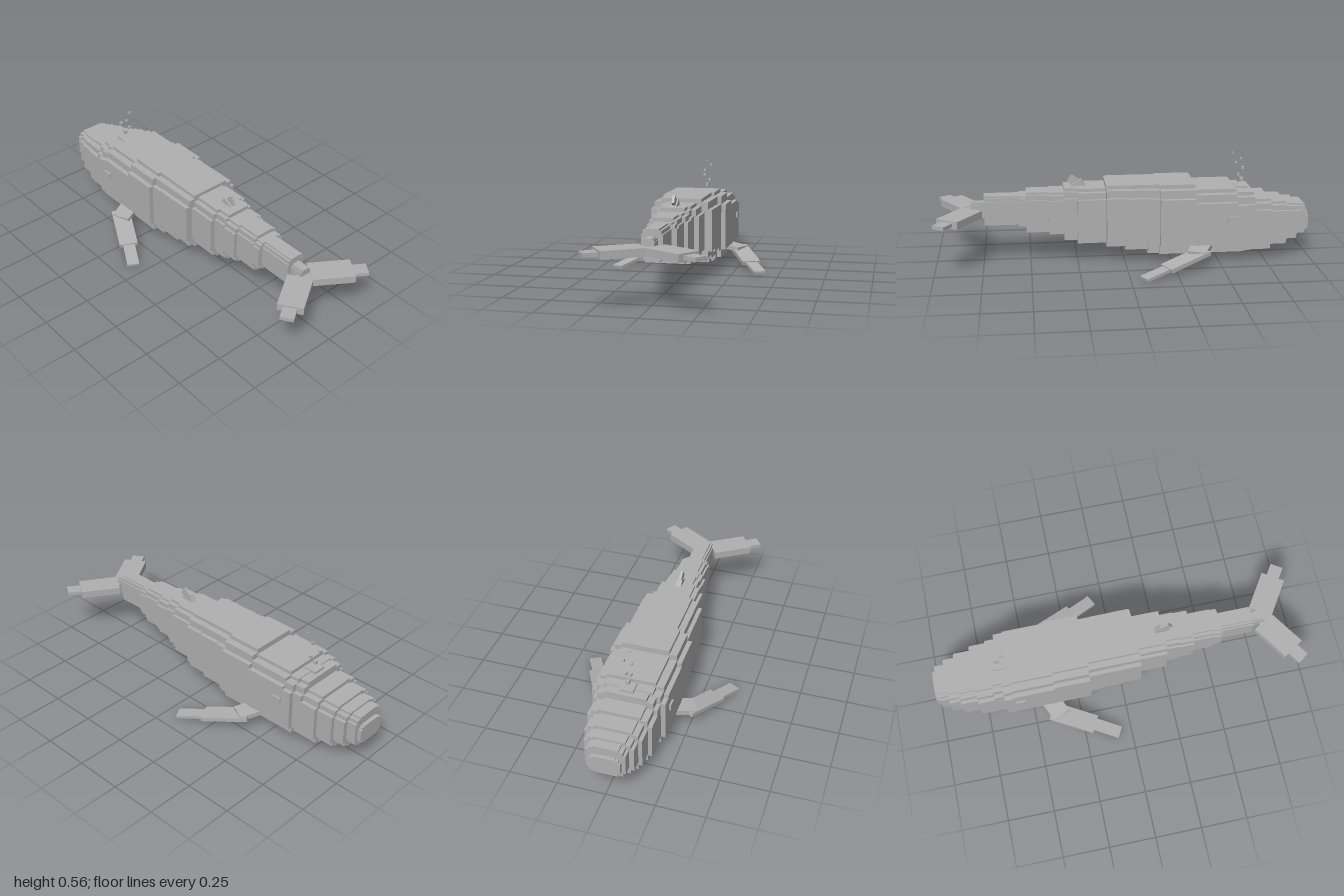
import * as THREE from 'three';

export function createModel() {
  const grey = new THREE.MeshStandardMaterial({ color: 0xb0b0b0 });
  grey.name = 'whale grey';
  const whale = new THREE.Group();
  whale.name = 'whale';

  function box(parent, name, w, h, d, x, y, z) {
    const m = new THREE.Mesh(new THREE.BoxGeometry(w, h, d), grey);
    m.name = name;
    m.position.set(x, y, z);
    parent.add(m);
    return m;
  }
  // Slab running from point a to point b, kept level across its width
  function slab(parent, name, a, b, w, h) {
    const p = new THREE.Vector3(...a), q = new THREE.Vector3(...b);
    const m = box(parent, name, w, h, p.distanceTo(q), 0, 0, 0);
    m.position.copy(p).add(q).multiplyScalar(0.5);
    m.lookAt(q);
    return m;
  }

  // Body slices, head to tail: z start, z end, half width, top, bottom
  const slices = [
    [-1.0, -0.97, 0.08, 0.24, 0.14],
    [-0.98, -0.93, 0.1, 0.285, 0.12],
    [-0.93, -0.87, 0.125, 0.295, 0.095],
    [-0.87, -0.78, 0.145, 0.31, 0.07],
    [-0.78, -0.69, 0.165, 0.33, 0.048],
    [-0.69, -0.64, 0.165, 0.37, 0.045],
    [-0.64, -0.59, 0.19, 0.375, 0.044],
    [-0.59, -0.37, 0.19, 0.395, 0.044],
    [-0.37, -0.18, 0.19, 0.425, 0.044],
    [-0.18, -0.12, 0.165, 0.425, 0.046],
    [-0.12, 0, 0.165, 0.425, 0.07],
    [0, 0.1, 0.165, 0.425, 0.09],
    [0.1, 0.25, 0.125, 0.405, 0.105],
    [0.25, 0.32, 0.1, 0.405, 0.12],
    [0.32, 0.4, 0.1, 0.385, 0.155],
    [0.4, 0.52, 0.08, 0.385, 0.165],
    [0.52, 0.56, 0.08, 0.365, 0.2],
    [0.56, 0.74, 0.053, 0.365, 0.205],
    [0.74, 0.81, 0.03, 0.33, 0.24],
  ];
  const body = new THREE.Group();
  body.name = 'body';
  whale.add(body);
  for (const [z0, z1, hw, top, bottom] of slices) {
    // Three overlapping blocks give each slice its stepped corners
    for (const [side, rise] of [[1, 0.17], [0.87, 0.055], [0.66, 0]]) {
      const inset = (top - bottom) * rise;
      box(body, 'bodyBlock', 2 * hw * side, top - bottom - 2 * inset, z1 - z0,
        0, (top + bottom) / 2, (z0 + z1) / 2);
    }
  }

  // Dorsal fin and blowhole
  box(whale, 'dorsalFinBase', 0.03, 0.04, 0.07, 0, 0.405, 0.245).rotation.x = 0.5;
  box(whale, 'dorsalFin', 0.014, 0.045, 0.055, 0, 0.43, 0.265).rotation.x = -0.6;
  box(whale, 'blowhole', 0.07, 0.012, 0.07, 0, 0.378, -0.635);

  // Mirrored eyes, flippers and flukes
  for (const s of [1, -1]) {
    const side = s > 0 ? 'left' : 'right';
    box(whale, side + 'Eye', 0.02, 0.03, 0.05, s * 0.19, 0.25, -0.56);

    const flipper = new THREE.Group();
    flipper.name = side + 'Flipper';
    slab(flipper, 'shoulder', [s * 0.13, 0.1, -0.42], [s * 0.26, 0.085, -0.36], 0.1, 0.025);
    slab(flipper, 'arm', [s * 0.225, 0.088, -0.41], [s * 0.335, 0.037, -0.19], 0.1, 0.022);
    slab(flipper, 'tip', [s * 0.315, 0.042, -0.225], [s * 0.4, 0.01, -0.065], 0.065, 0.016);
    whale.add(flipper);

    const fluke = new THREE.Group();
    fluke.name = side + 'Fluke';
    slab(fluke, 'flukeBlade', [s * 0.03, 0.276, 0.805], [s * 0.215, 0.276, 0.925], 0.13, 0.04);
    slab(fluke, 'flukeTip', [s * 0.19, 0.276, 0.908], [s * 0.277, 0.276, 0.965], 0.07, 0.02);
    whale.add(fluke);
  }
  box(whale, 'flukeRoot', 0.2, 0.036, 0.08, 0, 0.276, 0.82);

  // Spray droplets: size, x, y, z
  const drops = [
    [0.018, 0, 0.415, -0.64], [0.014, 0.018, 0.447, -0.62], [0.014, -0.018, 0.473, -0.65],
    [0.012, -0.01, 0.505, -0.61], [0.01, 0.023, 0.535, -0.63], [0.008, 0.005, 0.563, -0.59],
  ];
  for (const [r, x, y, z] of drops) box(whale, 'sprayDroplet', r, r, r, x, y, z);

  return whale;
}
